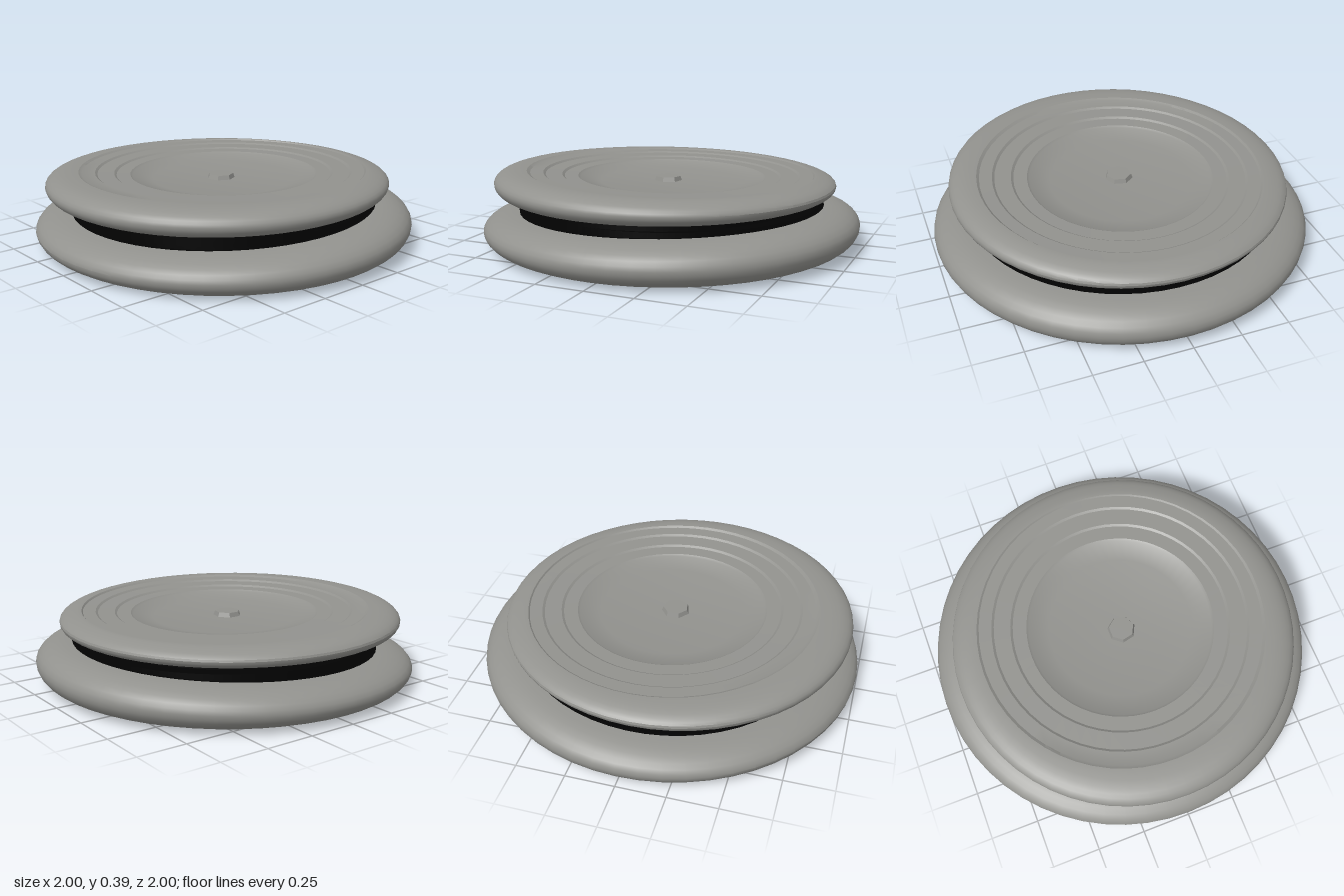
import * as THREE from 'three';
import { toCreasedNormals } from 'three/addons/utils/BufferGeometryUtils.js';

const grey = new THREE.MeshStandardMaterial({ name: 'grey', color: 0x92928e });
const black = new THREE.MeshStandardMaterial({ name: 'black', color: 0x020202 });

// Recessed face: rings stepping down to a shallow dish, as [radius, depth]
function steppedFace(radii, floor, drop, dish) {
  const face = [];
  radii.forEach((r, i) => {
    face.push([r, i * drop], [r - 0.012, (i + 0.85) * drop]);
  });
  const depth = radii.length * drop + dish;
  face.push([floor, depth], [0, depth]);
  return face;
}

// Rounded rim from the lower face (h = 0) to the upper face (h = 1)
function rimProfile(radius, flatUnder, flatTop) {
  const rim = [];
  for (let i = 0; i <= 14; i++) {
    const a = -Math.PI / 2 + (i / 14) * Math.PI;
    const flat = a < 0 ? flatUnder : flatTop;
    rim.push([flat + (radius - flat) * Math.cos(a), 0.5 + 0.5 * Math.sin(a)]);
  }
  return rim;
}

// Lathe a profile of height 1, then fit it between two slightly tilted planes
function turned(name, material, profile, { bottom, top, shift, depthScale }) {
  const geo = new THREE.LatheGeometry(profile.map(([r, h]) => new THREE.Vector2(r, h)), 56);
  const p = geo.attributes.position;
  for (let i = 0; i < p.count; i++) {
    const x = p.getX(i), h = p.getY(i), z = p.getZ(i);
    const low = bottom(x, z);
    const outer = Math.min(1, Math.max(0, (Math.hypot(x, z) - 0.75) / 0.08));
    p.setXYZ(i, x + shift * outer, low + h * (top(x, z) - low), z * depthScale);
  }
  const mesh = new THREE.Mesh(toCreasedNormals(geo, 0.45), material);
  mesh.name = name;
  return mesh;
}

// Dark round slab in the gap between the discs
function coreSlab(name, radius, low, high, x, z) {
  const mesh = new THREE.Mesh(new THREE.CylinderGeometry(radius, radius, high - low, 48), black);
  mesh.name = name;
  mesh.position.set(x, (low + high) / 2, z);
  return mesh;
}

export function createModel() {
  const model = new THREE.Group();
  model.name = 'stackedDiscs';

  // Lower disc: stepped underside, dark inner face on top
  const lowerFit = {
    bottom: (x) => 0.006 + 0.006 * x,
    top: (x, z) => 0.194 + 0.031 * x + 0.01 * z,
    shift: 0, depthScale: 1,
  };
  const lowerUnder = steppedFace([0.84, 0.77, 0.7, 0.635, 0.575], 0.52, 0.045, 0.05).reverse();
  const lowerRim = rimProfile(1, 0.86, 0.81);
  model.add(
    turned('lowerDisc', grey, [...lowerUnder, ...lowerRim], lowerFit),
    turned('lowerInnerFace', black, [lowerRim.at(-1), [0, 1]], lowerFit));

  // Upper disc: dark inner face below, stepped dish on top
  const upperFit = {
    bottom: (x) => 0.266 + 0.005 * x,
    top: (x, z) => 0.377 - 0.012 * x + 0.015 * z,
    shift: -0.04, depthScale: 0.98,
  };
  const upperTop = steppedFace([0.765, 0.685, 0.585, 0.5], 0.38, 0.085, 0.17)
    .map(([r, d]) => [r, 1 - d]);
  const upperRim = rimProfile(0.91, 0.82, 0.775);
  model.add(
    turned('upperDisc', grey, [...upperRim.slice(2), ...upperTop], upperFit),
    turned('upperInnerFace', black, [[0, 0], ...upperRim.slice(0, 3)], upperFit));

  model.add(
    coreSlab('lowerCore', 0.795, 0.15, 0.235, 0, 0),
    coreSlab('upperCore', 0.765, 0.2, 0.285, -0.04, 0.025));

  // Small faceted boss in the middle of the dish
  const boss = new THREE.Mesh(
    toCreasedNormals(new THREE.CylinderGeometry(0.066, 0.075, 0.026, 7), 0.5), grey);
  boss.name = 'centreBoss';
  boss.position.set(-0.02, 0.33, 0);
  model.add(boss);
  return model;
}
